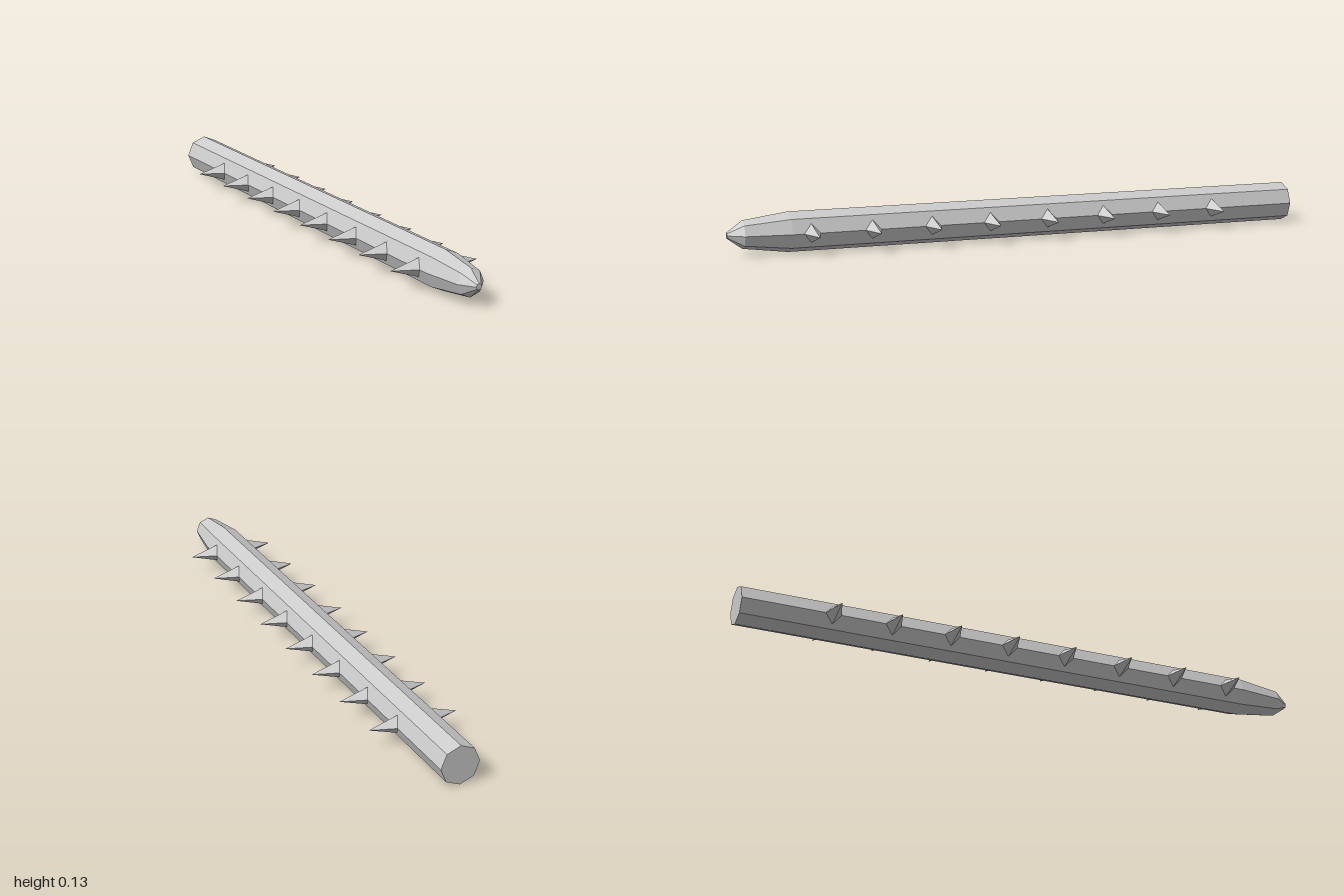
import * as THREE from 'three';

const RADIUS = 0.066;

export function createModel() {
  const group = new THREE.Group();
  const material = new THREE.MeshStandardMaterial({ color: 0xcccccc, flatShading: true });

  // Octagonal shaft along z, tapering to a blunt tip at the front
  const profile = [[0, -1], [RADIUS, -1], [RADIUS, 0.8], [0.046, 0.95], [0.01, 1], [0, 1]]
    .map(([r, y]) => new THREE.Vector2(r, y));
  const shaft = new THREE.Mesh(new THREE.LatheGeometry(profile, 8).rotateX(Math.PI / 2), material);
  shaft.name = 'shaft';
  shaft.position.y = RADIUS;
  group.add(shaft);

  // Four-sided thorns in mirrored rows, with their bases sunk into the shaft
  const base = 0.04, tip = 0.152, count = 8;
  for (const side of [1, -1]) {
    const row = new THREE.Group();
    row.name = side > 0 ? 'leftThorns' : 'rightThorns';
    const thornGeometry = new THREE.ConeGeometry(0.035, tip - base, 4).rotateZ(-side * Math.PI / 2);
    for (let i = 0; i < count; i++) {
      const thorn = new THREE.Mesh(thornGeometry, material);
      thorn.name = 'thorn';
      thorn.position.set(side * (base + tip) / 2, RADIUS, 0.736 - i * 0.2045);
      row.add(thorn);
    }
    group.add(row);
  }
  return group;
}
